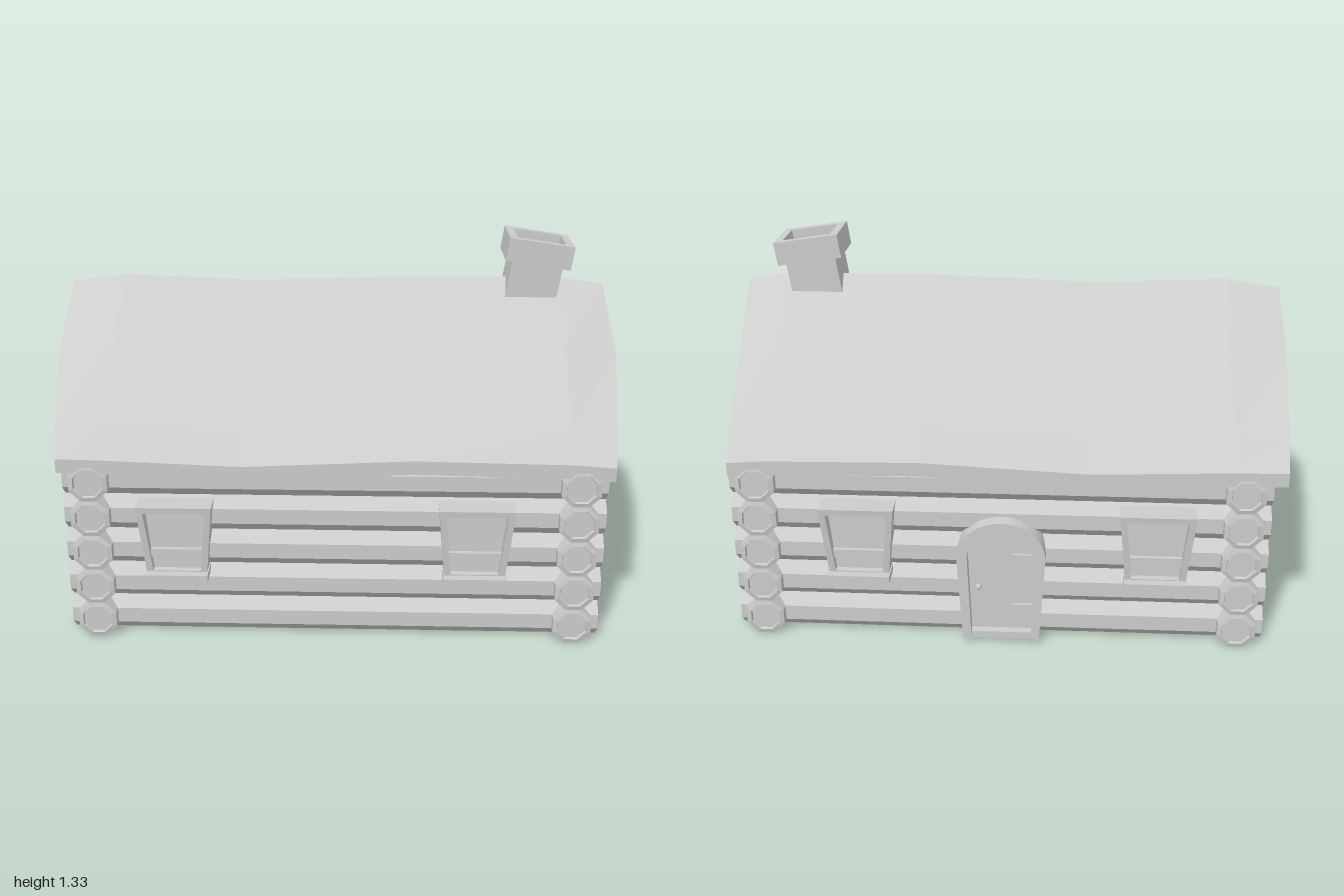
import * as THREE from 'three';

const material = new THREE.MeshStandardMaterial({ color: 0xcccccc, flatShading: true });
const LOG_R = 0.0725, ROW = 0.132, WALL_X = 0.84, WALL_Z = 0.56;

function add(parent, name, geometry) {
  const flat = geometry.index ? geometry.toNonIndexed() : geometry;
  flat.computeVertexNormals();
  const mesh = new THREE.Mesh(flat, material);
  mesh.name = name;
  parent.add(mesh);
  return mesh;
}

function box(parent, name, w, h, d, x, y, z) {
  return add(parent, name, new THREE.BoxGeometry(w, h, d).translate(x, y, z));
}

function extrude(shape, depth, z) {
  return new THREE.ExtrudeGeometry(shape, { depth, bevelEnabled: false, curveSegments: 10 }).translate(0, 0, z);
}

// Eight-sided log along y, with a bark rim around slightly sunken cut ends
function logGeometry(half) {
  const end = [[0, half - 0.01], [0.052, half - 0.01], [0.055, half], [LOG_R, half - 0.004]];
  const profile = [...end.map(([r, y]) => [r, -y]), ...end.reverse()];
  return new THREE.LatheGeometry(profile.map(([r, y]) => new THREE.Vector2(r, y)), 8, Math.PI / 8);
}

function buildWalls(parent) {
  for (let row = 0; row < 5; row++) {
    const y = 0.067 + row * ROW;
    for (const s of [-1, 1]) {
      add(parent, 'longWallLog', logGeometry(0.94).rotateZ(Math.PI / 2).translate(0, y, s * WALL_Z));
      add(parent, 'sideWallLog', logGeometry(0.662).rotateX(Math.PI / 2).translate(s * WALL_X, y, 0));
    }
  }
  // Gable logs, their ends cut along the roof slope
  for (let row = 5; row < 9; row++) {
    for (const s of [-1, 1]) {
      const g = new THREE.CylinderGeometry(LOG_R, LOG_R, 1, 8, 1, false, Math.PI / 8)
        .rotateX(Math.PI / 2).translate(s * WALL_X, 0.067 + row * ROW, 0);
      const p = g.attributes.position;
      for (let i = 0; i < p.count; i++) {
        const y = Math.min(p.getY(i), 1.09);
        p.setY(i, y);
        p.setZ(i, Math.sign(p.getZ(i)) * 0.66 * (1.09 - y) / 0.465);
      }
      add(parent, 'gableLog', g);
    }
  }
  box(parent, 'floor', 1.68, 0.03, 1.12, 0, 0.045, 0);
}

// Sagging roof: cross-sections placed along x, joined into a closed slab
function buildRoof(parent) {
  const zs = [-0.66, -0.55, -0.28, 0, 0.28, 0.55, 0.66];
  const left = [-0.975, -0.985, -1, -1, -1, -0.965, -0.945];
  const right = [0.93, 0.94, 0.957, 0.98, 0.995, 0.965, 0.95];
  const inner = [0, -0.8, -0.31, 0.27, 0.81, 0];
  const ridge = [1.13, 1.16, 1.14, 1.16, 1.16, 1.135];
  const eave = [0.685, 0.683, 0.665, 0.693, 0.685, 0.675];
  const bulge = [0, 0.02, 0.03, 0, 0.03, 0.02, 0];
  const n = zs.length, loop = 2 * n, cols = inner.length;
  const positions = [], index = [];
  for (let i = 0; i < cols; i++) {
    const end = i === 0 || i === cols - 1;
    const point = (j, drop) => {
      const x = i === 0 ? left[j] : end ? right[j] : inner[i];
      const y = THREE.MathUtils.lerp(ridge[i], eave[i], Math.abs(zs[j]) / 0.66);
      positions.push(x, y + bulge[j] * (end ? 0.3 : 1) - drop, zs[j]);
    };
    for (let j = 0; j < n; j++) point(j, 0);
    for (let j = n - 1; j >= 0; j--) point(j, 0.05);
  }
  for (let i = 0; i < cols - 1; i++) {
    for (let j = 0; j < loop; j++) {
      const k = (j + 1) % loop;
      const a = i * loop + j, d = i * loop + k, b = a + loop, c = d + loop;
      index.push(a, d, b, d, c, b);
    }
  }
  const last = (cols - 1) * loop;
  for (let j = 0; j < n - 1; j++) {
    const a = j, b = j + 1, c = loop - 2 - j, d = loop - 1 - j;
    index.push(a, c, b, a, d, c, last + a, last + b, last + c, last + a, last + c, last + d);
  }
  const g = new THREE.BufferGeometry();
  g.setAttribute('position', new THREE.Float32BufferAttribute(positions, 3));
  g.setIndex(index);
  add(parent, 'roof', g);
}

// Square tube standing on y
function squareTube(w, d, iw, id, y0, y1) {
  const corners = (a, b) => [[-a, -b], [a, -b], [a, b], [-a, b]].map(([x, y]) => new THREE.Vector2(x / 2, y / 2));
  const shape = new THREE.Shape(corners(w, d));
  shape.holes.push(new THREE.Path(corners(iw, id)));
  return extrude(shape, y1 - y0, 0).rotateX(-Math.PI / 2).translate(0, y0, 0);
}

function buildChimney(parent) {
  const chimney = new THREE.Group();
  chimney.name = 'chimney';
  chimney.position.set(0.714, 1.16, 0.004);
  chimney.rotation.z = -0.148;
  add(chimney, 'chimneyShaft', squareTube(0.185, 0.17, 0.125, 0.11, -0.17, 0.11));
  add(chimney, 'chimneyCap', squareTube(0.238, 0.208, 0.178, 0.15, 0.07, 0.156));
  box(chimney, 'chimneyFlueFloor', 0.13, 0.02, 0.115, 0, 0.02, 0);
  parent.add(chimney);
}

function trapezoid(y0, hw0, y1, hw1) {
  return [[-hw0, y0], [hw0, y0], [hw1, y1], [-hw1, y1]].map(([x, y]) => new THREE.Vector2(x, y));
}

// Window facing +z: flared frame leaning outward at the top
function buildWindow(parent, x, z, turn) {
  const win = new THREE.Group();
  win.name = 'window';
  const shape = new THREE.Shape(trapezoid(0.255, 0.105, 0.52, 0.13));
  shape.holes.push(new THREE.Path(trapezoid(0.268, 0.083, 0.498, 0.106)));
  const frame = extrude(shape, 0.1, -0.1);
  const p = frame.attributes.position;
  for (let i = 0; i < p.count; i++) p.setZ(i, p.getZ(i) + (p.getY(i) - 0.52) * 0.1);
  add(win, 'windowFrame', frame);
  add(win, 'windowPane', extrude(new THREE.Shape(trapezoid(0.262, 0.09, 0.505, 0.112)), 0.03, -0.08));
  box(win, 'windowBar', 0.18, 0.03, 0.02, 0, 0.332, -0.044);
  box(win, 'windowSill', 0.22, 0.025, 0.1, 0, 0.252, -0.045);
  win.position.set(x, 0, z);
  win.rotation.y = turn;
  parent.add(win);
}

// Arched door on the back wall
function buildDoor(parent) {
  const door = new THREE.Group();
  door.name = 'door';
  const frame = new THREE.Shape();
  frame.moveTo(0.135, 0.02);
  frame.lineTo(0.155, 0.34);
  frame.absellipse(0, 0.34, 0.155, 0.14, 0, Math.PI, false);
  frame.lineTo(-0.135, 0.02);
  frame.lineTo(-0.105, 0.02);
  frame.lineTo(-0.118, 0.34);
  frame.absellipse(0, 0.34, 0.118, 0.105, Math.PI, 0, true);
  frame.lineTo(0.105, 0.02);
  add(door, 'doorFrame', extrude(frame, 0.1, 0.58));
  const panel = new THREE.Shape();
  panel.moveTo(-0.11, 0.02);
  panel.lineTo(0.11, 0.02);
  panel.lineTo(0.12, 0.34);
  panel.absellipse(0, 0.34, 0.12, 0.107, 0, Math.PI, false);
  add(door, 'doorPanel', extrude(panel, 0.05, 0.585));
  for (const y of [0.13, 0.33]) box(door, 'doorHinge', 0.07, 0.02, 0.012, 0.075, y, 0.64);
  add(door, 'doorKnob', new THREE.SphereGeometry(0.012, 8, 6).translate(-0.08, 0.21, 0.648));
  box(door, 'doorStep', 0.22, 0.025, 0.08, 0, 0.025, 0.625);
  door.position.x = -0.01;
  door.rotation.y = Math.PI;
  parent.add(door);
}

export function createModel() {
  const cabin = new THREE.Group();
  cabin.name = 'logCabin';
  buildWalls(cabin);
  buildRoof(cabin);
  buildChimney(cabin);
  for (const x of [-0.547, 0.49]) {
    buildWindow(cabin, x, 0.688, 0);
    buildWindow(cabin, x, -0.688, Math.PI);
  }
  for (const s of [-1, 1]) buildWindow(cabin, s * 0.975, 0.01, s * Math.PI / 2);
  buildDoor(cabin);
  return cabin;
}
